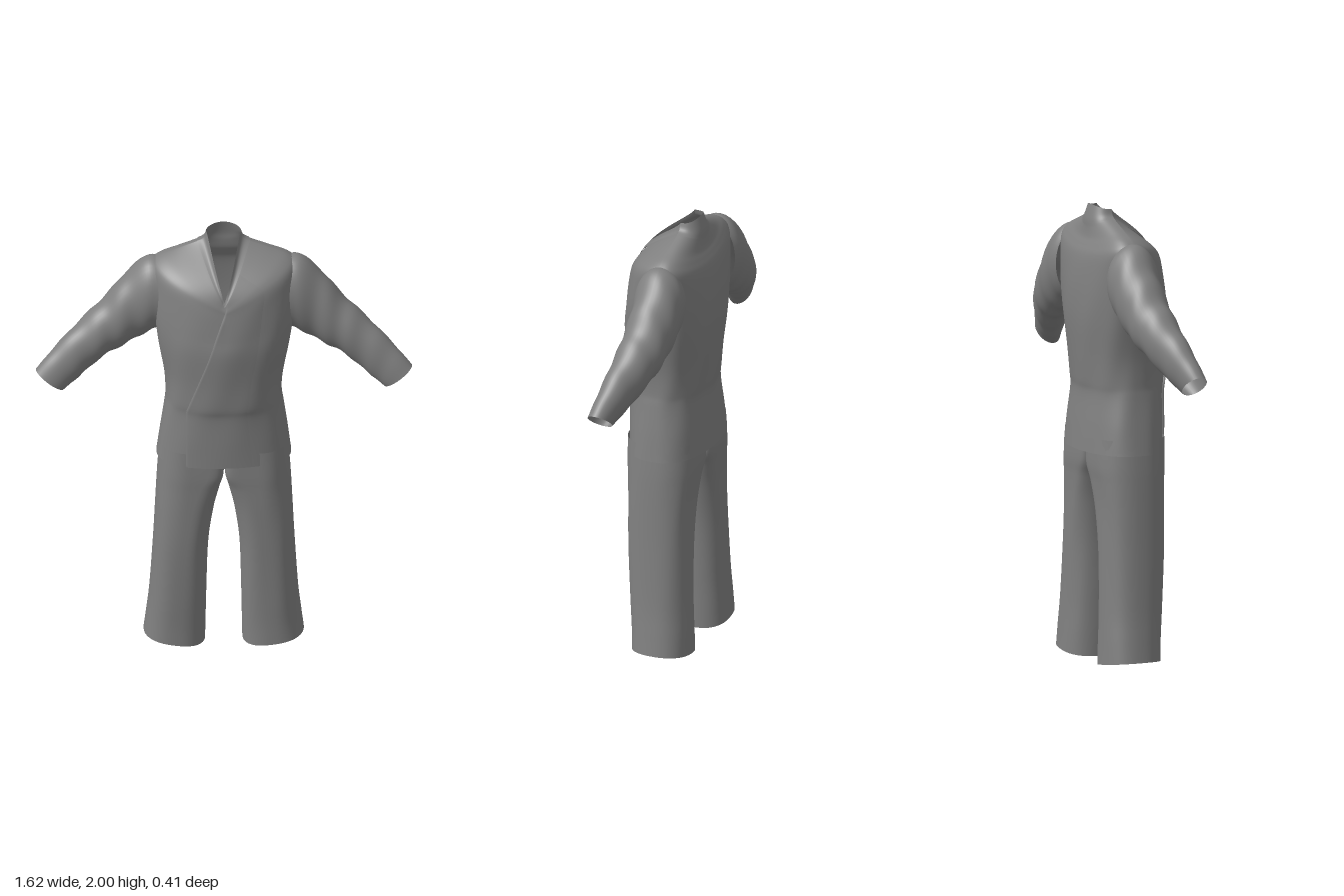
import * as THREE from 'three';

const cloth = new THREE.MeshStandardMaterial({ color: 0x808080, side: THREE.DoubleSide });
cloth.name = 'grey cloth';

// Smoothly interpolated cross-section row at position v (0 .. rows.length - 1)
function rowAt(rows, v) {
  const n = rows.length - 1;
  const i = Math.min(Math.floor(v), n - 1);
  const t = v - i;
  const p = [i - 1, i, i + 1, i + 2].map(k => rows[Math.max(0, Math.min(n, k))]);
  return p[1].map((b, k) => {
    const a = p[0][k], c = p[2][k], d = p[3][k];
    return b + 0.5 * t * (c - a + t * (2 * a - 5 * b + 4 * c - d + t * (3 * (b - c) + d - a)));
  });
}

// Grid surface from point(u, v), u and v in 0..1; closed wraps around in u
function surface(name, nu, nv, closed, point) {
  const pos = [], index = [];
  const cols = closed ? nu : nu + 1;
  for (let j = 0; j <= nv; j++)
    for (let i = 0; i < cols; i++) pos.push(...point(i / nu, j / nv));
  for (let j = 0; j < nv; j++)
    for (let i = 0; i < nu; i++) {
      const a = j * cols + i, b = j * cols + (i + 1) % cols;
      index.push(a, a + cols, b, b, a + cols, b + cols);
    }
  const g = new THREE.BufferGeometry();
  g.setAttribute('position', new THREE.Float32BufferAttribute(pos, 3));
  g.setIndex(index);
  g.computeVertexNormals();
  const mesh = new THREE.Mesh(g, cloth);
  mesh.name = name;
  return mesh;
}

// Jacket body: half width, side y, front y, back y, centre z, front z, back z, front roundness
const bodyRows = [
  [0.29, 0.935, 0.94, 0.935, -0.01, 0.162, -0.195, 0.8],
  [0.275, 1.05, 1.05, 1.05, -0.01, 0.167, -0.185, 0.8],
  [0.256, 1.18, 1.18, 1.18, 0, 0.173, -0.172, 0.85],
  [0.25, 1.24, 1.24, 1.24, 0, 0.184, -0.178, 0.85],
  [0.256, 1.35, 1.35, 1.35, 0, 0.19, -0.19, 0.9],
  [0.283, 1.5, 1.5, 1.5, -0.01, 0.197, -0.203, 0.9],
  [0.3, 1.62, 1.58, 1.62, -0.03, 0.188, -0.203, 0.9],
  [0.31, 1.75, 1.65, 1.72, -0.05, 0.177, -0.195, 1],
  [0.315, 1.835, 1.695, 1.79, -0.06, 0.168, -0.183, 1.15],
  [0.28, 1.875, 1.712, 1.83, -0.06, 0.165, -0.165, 1.3],
  [0.21, 1.905, 1.725, 1.86, -0.06, 0.16, -0.15, 1.6],
  [0.12, 1.94, 1.735, 1.9, -0.06, 0.155, -0.142, 2.2],
  [0.085, 1.957, 1.74, 1.94, -0.06, 0.15, -0.138, 2.6],
  [0.073, 1.985, 1.75, 2.0, -0.06, 0.145, -0.122, 2.7],
];

function bodyPoint(a, v, scale = 1) {
  const [rx, ys, yf, yb, zc, zf, zb, pf] = rowAt(bodyRows, v);
  const c = Math.cos(a), s = Math.sin(a);
  // soft vertical folds, fading out at the shoulders
  const fold = v < 8 ? 0.008 * Math.sin(a * 9 + v * 1.3) * Math.sin(v * Math.PI / 8) : 0;
  const k = scale + fold;
  const y = s > 0 ? ys * Math.abs(c) + yf * (1 - Math.abs(c)) : ys + (yb - ys) * s * s;
  const z = s > 0 ? (zf - zc) * Math.pow(s, pf) : (zb - zc) * Math.pow(-s, 0.7);
  return [rx * c * k, y, zc + z * k];
}

// Sleeve: top x, top y, bottom x, bottom y, centre z, half depth
const sleeveRows = [
  [0.26, 1.855, 0.26, 1.54, -0.06, 0.108],
  [0.325, 1.865, 0.3, 1.52, -0.066, 0.113],
  [0.42, 1.78, 0.365, 1.48, -0.07, 0.105],
  [0.5, 1.68, 0.445, 1.435, -0.062, 0.099],
  [0.58, 1.6, 0.52, 1.395, -0.048, 0.09],
  [0.67, 1.515, 0.595, 1.335, -0.022, 0.074],
  [0.75, 1.43, 0.65, 1.293, 0.002, 0.061],
  [0.81, 1.36, 0.69, 1.265, 0.02, 0.052],
];

function sleevePoint(side, u, v) {
  const [tx, ty, bx, by, zc, rz] = rowAt(sleeveRows, v * 7);
  const a = u * Math.PI * 2;
  const fold = 1 + 0.03 * Math.sin(v * 34 + 2 * Math.sin(a + 0.6)) * Math.sin(v * Math.PI);
  const c = Math.cos(a) * 0.5 * fold, s = Math.sin(a) * fold;
  return [side * ((tx + bx) / 2 + (tx - bx) * c), (ty + by) / 2 + (ty - by) * c, zc + rz * s];
}

// Trouser leg: outer x, inner x, outer y, inner y, front z, back z, inner squareness
const legRows = [
  [0.345, 0.08, 0.04, 0.003, 0.09, -0.17, 0.8],
  [0.334, 0.078, 0.13, 0.1, 0.094, -0.166, 0.8],
  [0.32, 0.075, 0.26, 0.25, 0.105, -0.16, 0.8],
  [0.305, 0.067, 0.5, 0.5, 0.122, -0.155, 0.75],
  [0.296, 0.044, 0.68, 0.68, 0.13, -0.155, 0.65],
  [0.29, 0.018, 0.8, 0.8, 0.135, -0.16, 0.5],
  [0.285, 0.002, 0.88, 0.88, 0.14, -0.165, 0.3],
  [0.275, 0, 1.0, 1.0, 0.143, -0.163, 0.3],
];

function legPoint(side, u, v) {
  const [xo, xi, yo, yi, zf, zb, e] = rowAt(legRows, v * 7);
  const a = u * Math.PI * 2, c = Math.cos(a), s = Math.sin(a);
  const p = c > 0 ? 0.85 : e;
  const x = Math.sign(c) * Math.pow(Math.abs(c), p);
  const z = Math.sign(s) * Math.pow(Math.abs(s), p);
  const fold = 1 + 0.012 * Math.sin(a * 5 + v * 9) * Math.sin(v * Math.PI);
  return [
    side * ((xo + xi) / 2 + (xo - xi) / 2 * x),
    (yo + yi) / 2 + (yo - yi) / 2 * x,
    (zf + zb) / 2 + (zf - zb) / 2 * z * fold,
  ];
}

// Front panel crossing over the chest; its free edge runs diagonally to the waist
function panelPoint(u, v) {
  const w = v * 12;
  const row = rowAt(bodyRows, w);
  const t = Math.min(1, Math.max(0, (1.74 - row[2]) / 0.52));
  const edge = Math.acos((0.012 - 0.172 * t) / row[0]);
  const lift = u === 0 ? 0.985 : 1.05 - 0.065 * u;
  return bodyPoint(edge + (0.8 - edge) * Math.max(0, u - 0.03), w, lift);
}

export function createModel() {
  const model = new THREE.Group();
  model.name = 'jacketAndTrousers';

  model.add(surface('jacketBody', 80, 65, true, (u, v) => bodyPoint(-u * Math.PI * 2, v * 13)));
  model.add(surface('overlapPanel', 30, 60, false, panelPoint));

  // Raised collar band around the neck opening
  model.add(surface('collar', 64, 8, true,
    (u, v) => bodyPoint(-u * Math.PI * 2, 11.2 + v * 1.8, 1.05)));

  for (const side of [1, -1]) {
    const label = side > 0 ? 'left' : 'right';
    model.add(surface(label + 'Sleeve', 40, 56, true, (u, v) => sleevePoint(side, u, v)));
    model.add(surface(label + 'TrouserLeg', 56, 42, true, (u, v) => legPoint(side, u, v)));
  }
  return model;
}
